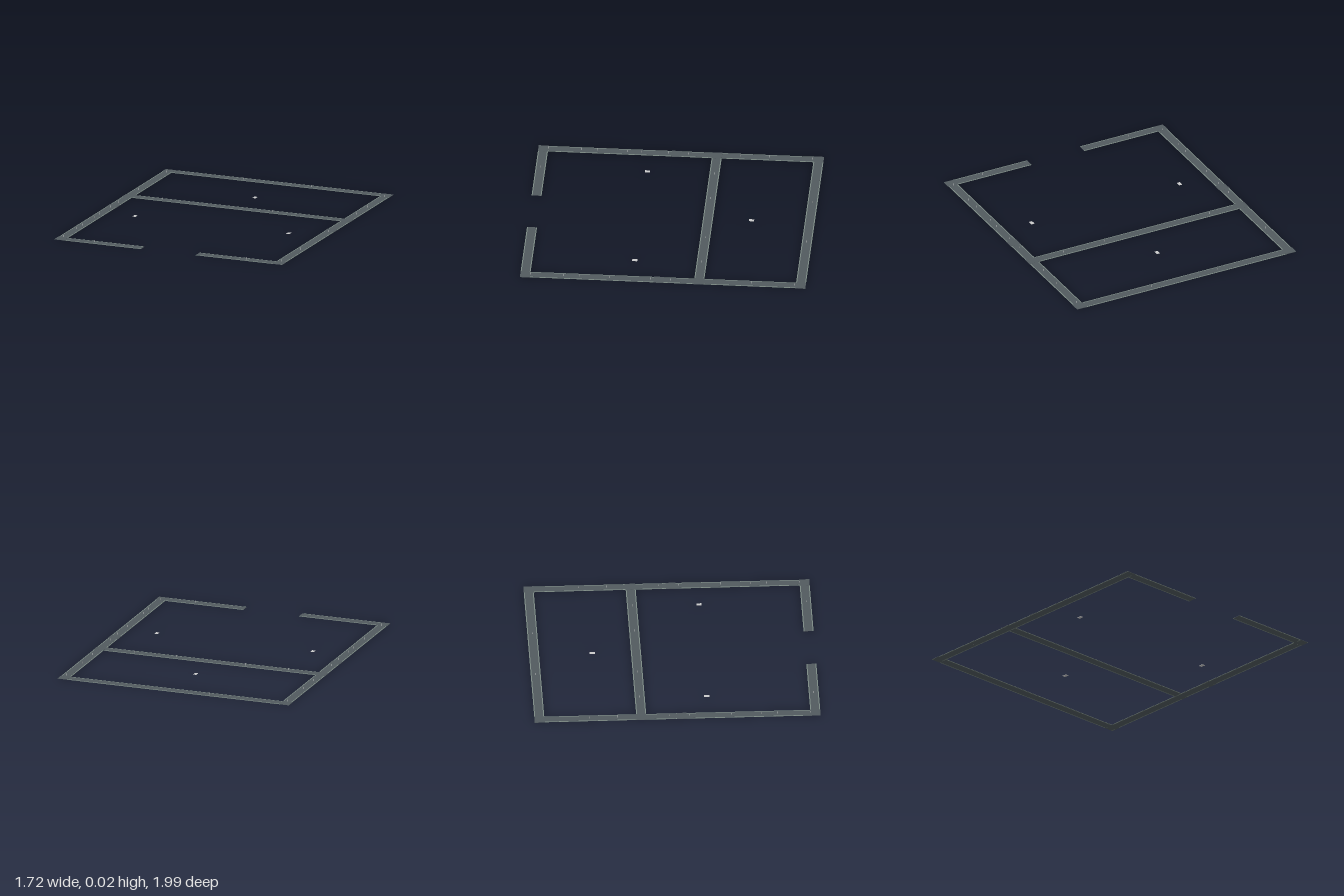
import * as THREE from 'three';

const slate = new THREE.MeshStandardMaterial({ color: 0x525b5f });
const paleGreen = new THREE.MeshStandardMaterial({ color: 0x7d8b85 });
const grey = new THREE.MeshStandardMaterial({ color: 0xcccccc });

const W = 0.07;    // strip width
const LIP = 0.007; // pale edging width
const H = 0.002;   // strip thickness
const SIDE = 0.822;

function box(parent, name, mat, w, h, d, x, z, y = 0) {
  const mesh = new THREE.Mesh(new THREE.BoxGeometry(w, h, d), mat);
  mesh.name = name;
  mesh.position.set(x, y + h / 2, z);
  parent.add(mesh);
}

// Strip along x (or z) with a pale edging on both long sides
function beam(parent, name, length, x, z, alongZ = false) {
  const g = new THREE.Group();
  g.name = name;
  box(g, 'core', slate, length, H, W - 2 * LIP, 0, 0);
  for (const s of [-1, 1]) {
    box(g, 'edging', paleGreen, length, H * 0.8, LIP, 0, s * (W - LIP) / 2);
  }
  g.position.set(x, 0, z);
  if (alongZ) g.rotation.y = Math.PI / 2;
  parent.add(g);
}

export function createModel() {
  const model = new THREE.Group();
  model.name = 'floorFrame';

  // Back and middle cross strips, split front strip with an opening
  beam(model, 'backStrip', 2 * SIDE - W, 0, -0.965);
  beam(model, 'middleStrip', 2 * SIDE - W, 0, -0.256);
  for (const s of [-1, 1]) {
    beam(model, 'frontStrip', 0.58, s * 0.497, 0.955);
    beam(model, 'sideStrip', 1.99, s * SIDE, -0.005, true);

    // Joint plates along the side strips
    for (const z of [-0.965, -0.256, 0.025, 0.955]) {
      box(model, 'jointPlate', slate, 0.076, H * 1.2, W, s * SIDE, z);
    }
  }

  // Small upright pins on the strips
  const pins = [];
  for (const s of [-1, 1]) {
    pins.push([s * 0.257, -0.965], [s * 0.257, -0.256], [s * 0.573, -0.256], [s * 0.573, 0.955]);
    for (const z of [0.92, 0.69, 0.58, 0.37, 0.27, 0.08, -0.06, -0.42, -0.62, -0.92]) {
      pins.push([s * SIDE, z]);
    }
  }
  const pinGeometry = new THREE.CylinderGeometry(0.0015, 0.0015, 0.016, 8);
  for (const [x, z] of pins) {
    const pin = new THREE.Mesh(pinGeometry, grey);
    pin.name = 'pin';
    pin.position.set(x, 0.008, z);
    model.add(pin);
  }

  // Loose floor plates inside the rooms
  for (const [x, z] of [[0, -0.56], [-0.58, 0.21], [0.58, 0.21]]) {
    box(model, 'floorPlate', grey, 0.024, H, 0.036, x, z);
  }
  return model;
}
